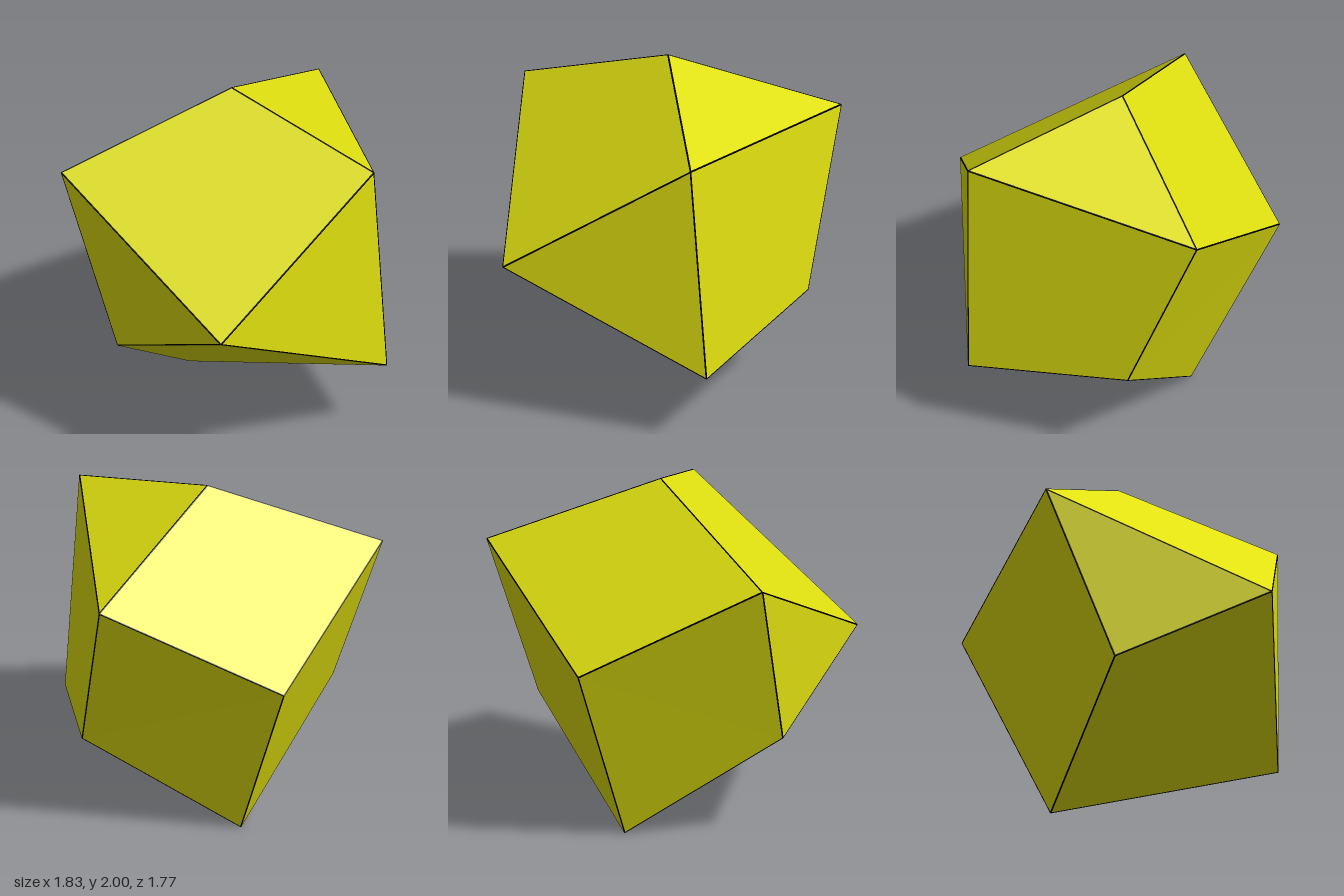
import * as THREE from 'three';

// Corners of the ten-sided polyhedron
const P = {
  top: [0, 2, 0], front: [0.332, 1.745, 0.886],
  upL: [0.915, 1.592, -0.386], upR: [-0.915, 1.592, -0.386],
  midR: [-0.755, 1.013, 0.886], lowF: [0.424, 0.436, 0.886],
  lowL: [0.81, 0.598, 0], lowR: [-0.81, 0.598, 0],
  base: [0, 0.002, -0.386], back: [0, 1.065, -0.886],
};

// Six quads and four triangles
const FACES = [
  ['top', 'front', 'midR', 'upR'], ['front', 'upL', 'lowL', 'lowF'],
  ['midR', 'lowR', 'base', 'lowF'], ['upL', 'back', 'base', 'lowL'],
  ['upR', 'lowR', 'base', 'back'], ['top', 'upL', 'back', 'upR'],
  ['top', 'front', 'upL'], ['midR', 'front', 'lowF'],
  ['upR', 'midR', 'lowR'], ['lowF', 'lowL', 'base'],
];

const EDGE = 0.006; // width of the dark border on each face

function faceNormal(c) {
  const a = c[1].clone().sub(c[0]);
  return a.cross(c[2].clone().sub(c[0])).normalize();
}

// Move each corner inwards so the border keeps an even width
function inset(c, w) {
  return c.map((p, i) => {
    const a = c[(i + c.length - 1) % c.length].clone().sub(p).normalize();
    const b = c[(i + 1) % c.length].clone().sub(p).normalize();
    return p.clone().addScaledVector(a.clone().add(b), w / Math.sin(a.angleTo(b)));
  });
}

// Turn a convex outline into a fan of triangles
function fan(c, out) {
  for (let i = 1; i < c.length - 1; i++) {
    for (const p of [c[0], c[i], c[i + 1]]) out.push(p.x, p.y, p.z);
  }
}

function makeMesh(name, positions, material) {
  const g = new THREE.BufferGeometry();
  g.setAttribute('position', new THREE.Float32BufferAttribute(positions, 3));
  g.computeVertexNormals();
  const mesh = new THREE.Mesh(g, material);
  mesh.name = name;
  return mesh;
}

export function createModel() {
  const yellow = new THREE.MeshStandardMaterial({ color: 0xe0e010 });
  yellow.name = 'yellow';
  const black = new THREE.MeshStandardMaterial({ color: 0x000000 });
  black.name = 'black';

  const panels = [], borders = [];
  const centre = new THREE.Vector3(0, 1, 0);
  for (const names of FACES) {
    const c = names.map((n) => new THREE.Vector3(...P[n]));
    // Make the corners run counter-clockwise seen from outside
    if (faceNormal(c).dot(c[0].clone().sub(centre)) < 0) c.reverse();
    const inner = inset(c, EDGE);
    fan(inner, panels);
    c.forEach((p, i) => {
      const j = (i + 1) % c.length;
      fan([p, c[j], inner[j], inner[i]], borders);
    });
  }

  const group = new THREE.Group();
  group.name = 'polyhedron';
  group.add(makeMesh('facePanels', panels, yellow), makeMesh('edgeLines', borders, black));
  return group;
}
